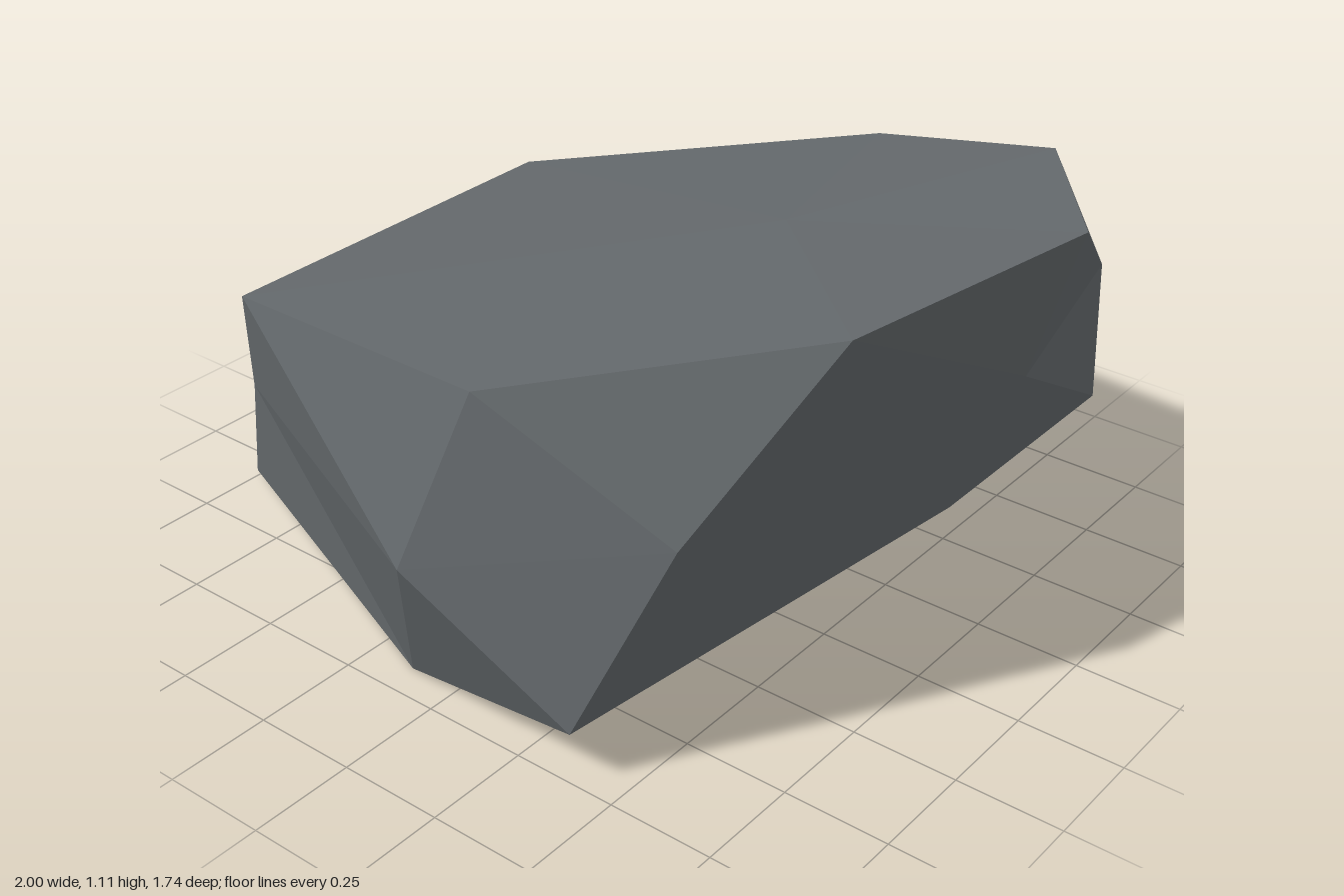
import * as THREE from 'three';

// Cross-sections of the boulder, each running clockwise from the back right corner (seen from above)
const lowerRing = [
  [-0.86, 0.06, -0.52], [0.24, 0.155, -0.825], [0.74, 0.38, -0.725], [0.71, 0.345, -0.15],
  [0.415, 0.15, 0.775], [-0.13, 0, 0.67], [-1, 0.015, 0.33], [-0.945, 0.035, -0.1],
];
const middleRing = [
  [-0.865, 0.33, -0.535], [0.24, 0.52, -0.87], [0.74, 0.73, -0.7], [0.875, 0.735, -0.13],
  [0.61, 0.615, 0.68], [0.05, 0.44, 0.87], [-0.92, 0.31, 0.38], [-0.895, 0.32, -0.11],
];
const upperRing = [
  [-0.85, 0.6, -0.55], [0.09, 0.855, -0.77], [0.67, 1.04, -0.56], [0.995, 1.105, -0.1],
  [0.85, 1.065, 0.485], [0.19, 0.86, 0.785], [-0.85, 0.6, 0.45], [-0.85, 0.6, -0.05],
];
const bottomCentre = [0.06, 0.075, -0.08];
const topCentre = [0.27, 0.91, -0.13];

function boulderGeometry() {
  const corners = [];
  const triangle = (a, b, c) => corners.push(...a, ...b, ...c);
  const rings = [lowerRing, middleRing, upperRing];

  for (let i = 0; i < 8; i++) {
    const j = (i + 1) % 8;
    // Sides
    for (let r = 0; r < 2; r++) {
      const low = rings[r], high = rings[r + 1];
      triangle(low[i], high[i], high[j]);
      triangle(low[i], high[j], low[j]);
    }
    // Sloping top and underside
    triangle(topCentre, upperRing[j], upperRing[i]);
    triangle(bottomCentre, lowerRing[i], lowerRing[j]);
  }

  const geometry = new THREE.BufferGeometry();
  geometry.setAttribute('position', new THREE.Float32BufferAttribute(corners, 3));
  geometry.computeVertexNormals();
  return geometry;
}

export function createModel() {
  const stone = new THREE.MeshStandardMaterial({ color: 0x63686b });
  stone.name = 'slate grey stone';
  stone.flatShading = true;

  const boulder = new THREE.Mesh(boulderGeometry(), stone);
  boulder.name = 'boulder';

  const group = new THREE.Group();
  group.name = 'rock';
  group.add(boulder);
  return group;
}
